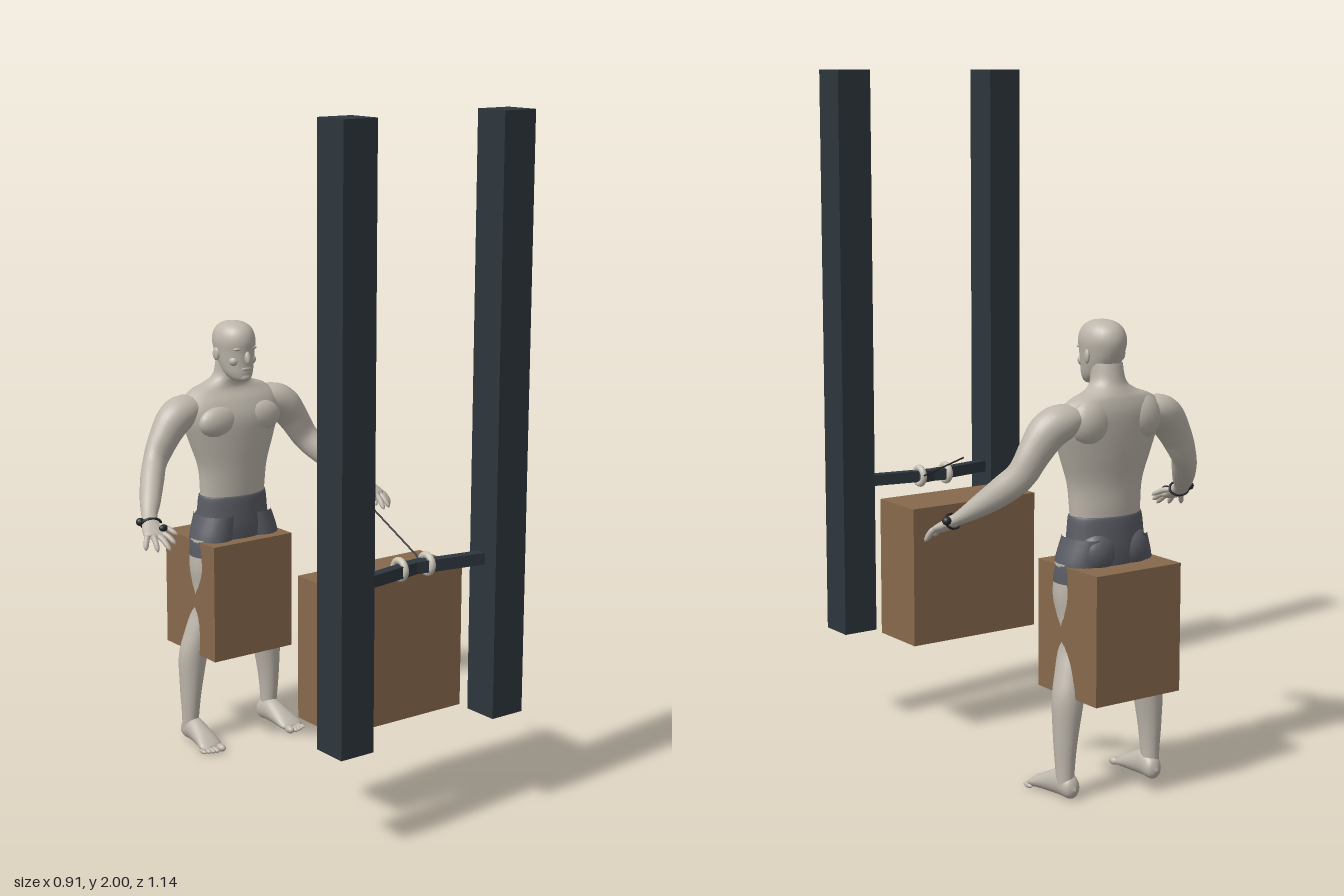
import * as THREE from 'three';

const mat = (name, color) => {
  const m = new THREE.MeshStandardMaterial({ color });
  m.name = name;
  return m;
};

// Smooth skin over elliptical rings; each point is [x, y, z, radiusU, radiusV].
// Rings are square to the path, or to `fixed` when it is given.
function loft(pts, ref, fixed = null, steps = 5, sides = 24) {
  const path = new THREE.CatmullRomCurve3(pts.map(p => new THREE.Vector3(p[0], p[1], p[2])), false, 'catmullrom');
  const size = new THREE.CatmullRomCurve3(pts.map(p => new THREE.Vector3(p[3], p[4], 0)), false, 'catmullrom');
  const rows = (pts.length - 1) * steps, pos = [], idx = [];
  for (let i = 0; i <= rows; i++) {
    const t = i / rows, c = path.getPoint(t), r = size.getPoint(t);
    const T = fixed ? fixed.clone() : path.getTangent(t);
    const u = ref.clone().cross(T).normalize(), v = T.clone().cross(u);
    for (let j = 0; j < sides; j++) {
      const a = j / sides * Math.PI * 2;
      const p = c.clone().addScaledVector(u, Math.cos(a) * Math.max(r.x, 0.001))
        .addScaledVector(v, Math.sin(a) * Math.max(r.y, 0.001));
      pos.push(p.x, p.y, p.z);
      const k = i * sides + j, n = i * sides + (j + 1) % sides;
      if (i < rows) idx.push(k, n, n + sides, k, n + sides, k + sides);
    }
  }
  const g = new THREE.BufferGeometry();
  g.setAttribute('position', new THREE.Float32BufferAttribute(pos, 3));
  g.setIndex(idx);
  g.computeVertexNormals();
  return g;
}

export function createModel() {
  const root = new THREE.Group();
  root.name = 'figureAndFrame';
  const skin = mat('warm grey skin', 0xbdb6ab), cloth = mat('grey cloth', 0x5a5c64);
  const wood = mat('brown block', 0x87694c), steel = mat('dark steel', 0x2d363d);
  const ivory = mat('ivory ring', 0xc9c3b5), black = mat('black strap', 0x26282b);
  const UP = new THREE.Vector3(0, 1, 0), BACK = new THREE.Vector3(0, 0, -1), FRONT = new THREE.Vector3(0, 0, 1);

  const add = (name, geo, m, x = 0, y = 0, z = 0) => {
    const mesh = new THREE.Mesh(geo, m);
    mesh.name = name;
    mesh.position.set(x, y, z);
    root.add(mesh);
    return mesh;
  };
  const box = (name, m, w, h, d, x, y, z) => add(name, new THREE.BoxGeometry(w, h, d), m, x, y, z);
  const blob = (name, m, x, y, z, rx, ry, rz) => {
    const b = add(name, new THREE.SphereGeometry(1, 20, 14), m, x, y, z);
    b.scale.set(rx, ry, rz);
    return b;
  };
  const upright = (name, m, pts) => add(name, loft(pts, BACK, UP), m);

  // Blocks
  box('frontBlock', wood, 0.44, 0.42, 0.19, 0, 0.5, 0.325);
  box('rearBlock', wood, 0.29, 0.365, 0.27, 0, 0.4725, -0.44);

  // Posts, the bent crossbar and its rings
  for (const s of [1, -1]) {
    box('post', steel, 0.11, 1.71, 0.11, s * 0.27, 1.145, 0.515);
    const bar = box('crossbar', steel, 0.275, 0.034, 0.03, s * 0.083, 0.753, 0.485);
    bar.rotation.y = -s * 0.175;
    const ring = add('barRing', new THREE.TorusGeometry(0.025, 0.01, 14, 28), ivory, s * 0.048, 0.755, 0.469);
    ring.rotation.y = Math.PI / 2;
  }
  const rodPath = new THREE.LineCurve3(new THREE.Vector3(0.05, 0.757, 0.445), new THREE.Vector3(0.071, 0.86, 0.18));
  add('thinRod', new THREE.TubeGeometry(rodPath, 1, 0.0025, 8), black);

  // Torso and neck
  upright('torso', skin, [
    [0, 0.76, -0.418, 0.11, 0.068], [0, 0.81, -0.417, 0.112, 0.071], [0, 0.88, -0.415, 0.12, 0.073],
    [0, 0.96, -0.418, 0.148, 0.08], [0, 1.03, -0.422, 0.172, 0.082], [0, 1.08, -0.432, 0.172, 0.072],
    [0, 1.115, -0.44, 0.135, 0.056], [0, 1.135, -0.437, 0.082, 0.05], [0, 1.16, -0.428, 0.051, 0.048],
    [0, 1.21, -0.418, 0.045, 0.048]]);

  // Head with simple features
  upright('head', skin, [
    [0, 1.143, -0.365, 0.004, 0.006], [0, 1.15, -0.367, 0.026, 0.032], [0, 1.17, -0.38, 0.042, 0.05],
    [0, 1.2, -0.392, 0.051, 0.062], [0, 1.235, -0.4, 0.057, 0.072], [0, 1.27, -0.402, 0.061, 0.077],
    [0, 1.3, -0.402, 0.053, 0.067], [0, 1.319, -0.402, 0.033, 0.042], [0, 1.327, -0.402, 0.001, 0.001]]);
  const nose = blob('nose', skin, 0, 1.222, -0.329, 0.01, 0.022, 0.011);
  nose.rotation.x = -0.3;
  blob('lips', skin, 0, 1.186, -0.336, 0.019, 0.007, 0.008);
  blob('chin', skin, 0, 1.16, -0.343, 0.02, 0.014, 0.014);

  for (const s of [1, -1]) {
    // Face and chest relief
    blob('ear', skin, s * 0.059, 1.228, -0.41, 0.007, 0.02, 0.013).rotation.y = -s * 0.3;
    blob('brow', skin, s * 0.022, 1.248, -0.342, 0.02, 0.006, 0.01);
    blob('cheek', skin, s * 0.03, 1.21, -0.356, 0.017, 0.016, 0.016);
    blob('chestMuscle', skin, s * 0.075, 1.025, -0.373, 0.072, 0.05, 0.035);
    blob('shoulderBlade', skin, s * 0.085, 1.055, -0.457, 0.068, 0.068, 0.05);

    // Arm running into the palm
    const arm = [
      [0.11, 1.07, -0.44, 0.045, 0.03], [0.16, 1.06, -0.437, 0.055, 0.05], [0.203, 1.037, -0.43, 0.053, 0.054],
      [0.243, 0.985, -0.425, 0.043, 0.048], [0.28, 0.925, -0.415, 0.036, 0.042], [0.315, 0.88, -0.378, 0.036, 0.04],
      [0.358, 0.83, -0.322, 0.031, 0.03], [0.39, 0.795, -0.277, 0.023, 0.019], [0.404, 0.772, -0.24, 0.031, 0.016],
      [0.409, 0.757, -0.212, 0.034, 0.012], [0.411, 0.752, -0.205, 0.02, 0.006]];
    add('arm', loft(arm.map(p => [s * p[0], ...p.slice(1)]), UP), skin);

    // Fingers and thumb: [base, tip]
    const digits = [
      [[0.432, 0.762, -0.222], [0.452, 0.722, -0.2]], [[0.419, 0.76, -0.213], [0.427, 0.72, -0.172]],
      [[0.404, 0.76, -0.211], [0.394, 0.722, -0.157]], [[0.389, 0.763, -0.215], [0.371, 0.736, -0.166]],
      [[0.385, 0.78, -0.248], [0.352, 0.756, -0.185]]];
    for (const [a, b] of digits) {
      const at = (t, r) => [s * (a[0] + (b[0] - a[0]) * t), a[1] + (b[1] - a[1]) * t + 0.006 * t * (1 - t) * 4,
        a[2] + (b[2] - a[2]) * t, r, r];
      add('finger', loft([at(-0.2, 0.008), at(0.4, 0.0085), at(0.85, 0.007), at(1, 0.001)], UP, null, 4, 10), skin);
    }

    // Hand strap with two knobs
    const strap = add('handStrap', new THREE.TorusGeometry(0.029, 0.004, 8, 24), black, s * 0.398, 0.783, -0.255);
    strap.scale.y = 0.75;
    strap.lookAt(s * 0.418, 0.75, -0.2);
    blob('strapKnob', black, s * 0.426, 0.79, -0.27, 0.013, 0.012, 0.012);
    blob('strapKnob', black, s * 0.382, 0.776, -0.214, 0.014, 0.011, 0.01);

    // Leg and foot
    const leg = [
      [0.15, 0.03, -0.443, 0.024, 0.026], [0.15, 0.09, -0.44, 0.026, 0.031], [0.148, 0.17, -0.439, 0.033, 0.038],
      [0.139, 0.28, -0.437, 0.045, 0.045], [0.123, 0.36, -0.427, 0.042, 0.045], [0.108, 0.43, -0.417, 0.038, 0.046],
      [0.095, 0.5, -0.41, 0.051, 0.058], [0.089, 0.57, -0.407, 0.065, 0.068], [0.083, 0.66, -0.41, 0.066, 0.07]];
    upright('leg', skin, leg.map(p => [s * p[0], ...p.slice(1)]));
    const foot = [
      [0.145, 0.03, -0.483, 0.002, 0.002], [0.145, 0.033, -0.468, 0.024, 0.03], [0.147, 0.041, -0.425, 0.029, 0.039],
      [0.15, 0.029, -0.365, 0.035, 0.028], [0.154, 0.017, -0.322, 0.038, 0.016], [0.156, 0.013, -0.306, 0.026, 0.009]];
    add('foot', loft(foot.map(p => [s * p[0], ...p.slice(1)]), UP, FRONT), skin);
    for (let i = 0; i < 5; i++) {
      const r = i ? 0.0085 - i * 0.0004 : 0.012;
      blob('toe', skin, s * (0.131 + (i ? 0.007 : 0) + i * 0.0125), r, -0.298 - 0.0006 * i * i - i * 0.002, r, r, 0.019);
    }

    // Short trouser leg and seat
    upright('shortsLeg', cloth, [
      [s * 0.087, 0.605, -0.408, 0.067, 0.071], [s * 0.082, 0.66, -0.412, 0.066, 0.076],
      [s * 0.065, 0.73, -0.417, 0.06, 0.077]]);
    blob('shortsSeat', cloth, s * 0.055, 0.69, -0.456, 0.058, 0.065, 0.05);
  }

  // Shorts
  upright('shorts', cloth, [
    [0, 0.6, -0.42, 0.03, 0.03], [0, 0.63, -0.42, 0.095, 0.07], [0, 0.68, -0.42, 0.124, 0.08],
    [0, 0.74, -0.419, 0.12, 0.079], [0, 0.785, -0.418, 0.115, 0.075], [0, 0.79, -0.418, 0.108, 0.068]]);

  return root;
}
